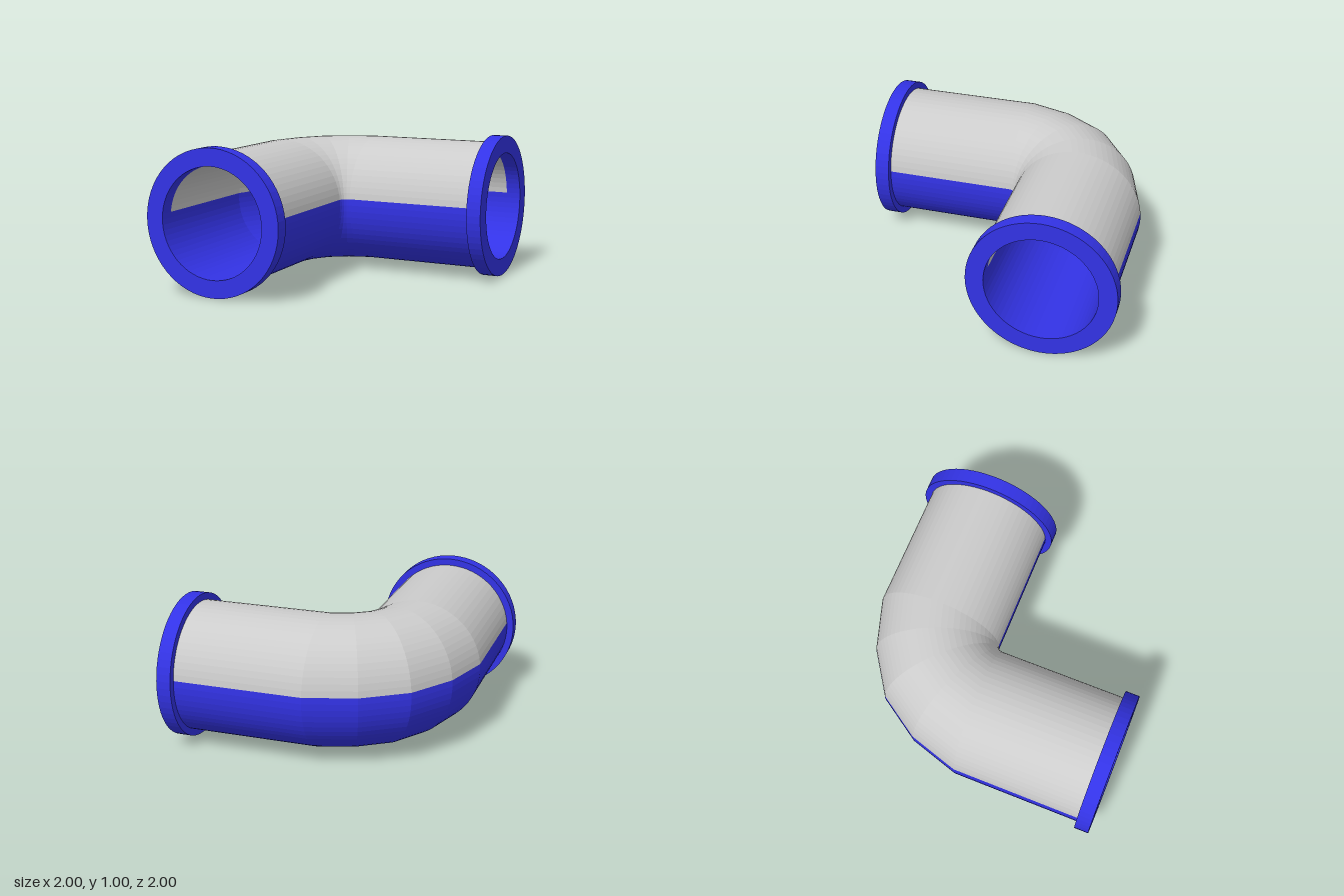
import * as THREE from 'three';

const SIDES = 64, OUTER = 0.452, INNER = 0.378, FLANGE = 0.5, BEND = 0.5, END = 0.9;
const STEP = (Math.PI * 2) / SIDES;

// Stations along the elbow: bend angle, radial pull-in, straight offset in z and x
const stations = [{ a: 0, f: 1, z: END, x: 0 }];
for (let i = 0; i <= 4; i++) {
  stations.push({ a: (i * Math.PI) / 8, f: i % 4 ? 0.96 : 1, z: 0, x: 0 });
}
stations.push({ a: Math.PI / 2, f: 1, z: 0, x: END });

// Part of a pipe wall, from side index `first` over `count` sides
function wall(radius, first, count, inward) {
  const pos = [], idx = [], row = count + 1;
  for (const s of stations) {
    for (let j = 0; j <= count; j++) {
      const t = (first + j) * STEP;
      const u = (BEND + radius * Math.cos(t)) * s.f;
      pos.push(s.x - u * Math.cos(s.a), 0.5 + radius * Math.sin(t), s.z - u * Math.sin(s.a));
    }
  }
  for (let i = 0; i < stations.length - 1; i++) {
    for (let j = 0; j < count; j++) {
      const a = i * row + j, b = a + 1, c = b + row, d = a + row;
      if (inward) idx.push(a, c, b, a, d, c);
      else idx.push(a, b, c, a, c, d);
    }
  }
  const g = new THREE.BufferGeometry();
  g.setAttribute('position', new THREE.Float32BufferAttribute(pos, 3));
  g.setIndex(idx);
  g.computeVertexNormals();
  return g;
}

export function createModel() {
  const model = new THREE.Group();
  model.name = 'pipeElbow';
  const grey = new THREE.MeshStandardMaterial({ color: 0xcccccc, flatShading: true });
  const blue = new THREE.MeshStandardMaterial({ color: 0x3333e6, flatShading: true });

  const add = (name, geometry, material) => {
    const mesh = new THREE.Mesh(geometry, material);
    mesh.name = name;
    model.add(mesh);
    return mesh;
  };

  // Grey upper shell and blue lower shell, each with an outside and an inside
  const upper = SIDES / 2 - 2, lower = SIDES / 2 + 2;
  add('upperOuterWall', wall(OUTER, 1, upper, false), grey);
  add('upperInnerWall', wall(INNER, 1, upper, true), grey);
  add('lowerOuterWall', wall(OUTER, 1 + upper, lower, false), blue);
  add('lowerInnerWall', wall(INNER, 1 + upper, lower, true), blue);

  // Flange rings at the two open ends
  const profile = [[FLANGE, 0], [FLANGE, 0.1], [INNER, 0.1], [INNER, 0], [FLANGE, 0]]
    .map(([r, y]) => new THREE.Vector2(r, y));
  const ring = new THREE.LatheGeometry(profile, SIDES);
  const front = add('frontFlange', ring, blue);
  front.rotation.x = Math.PI / 2;
  front.position.set(-BEND, 0.5, END);
  const side = add('leftFlange', ring, blue);
  side.rotation.z = -Math.PI / 2;
  side.position.set(END, 0.5, -BEND);

  return model;
}
